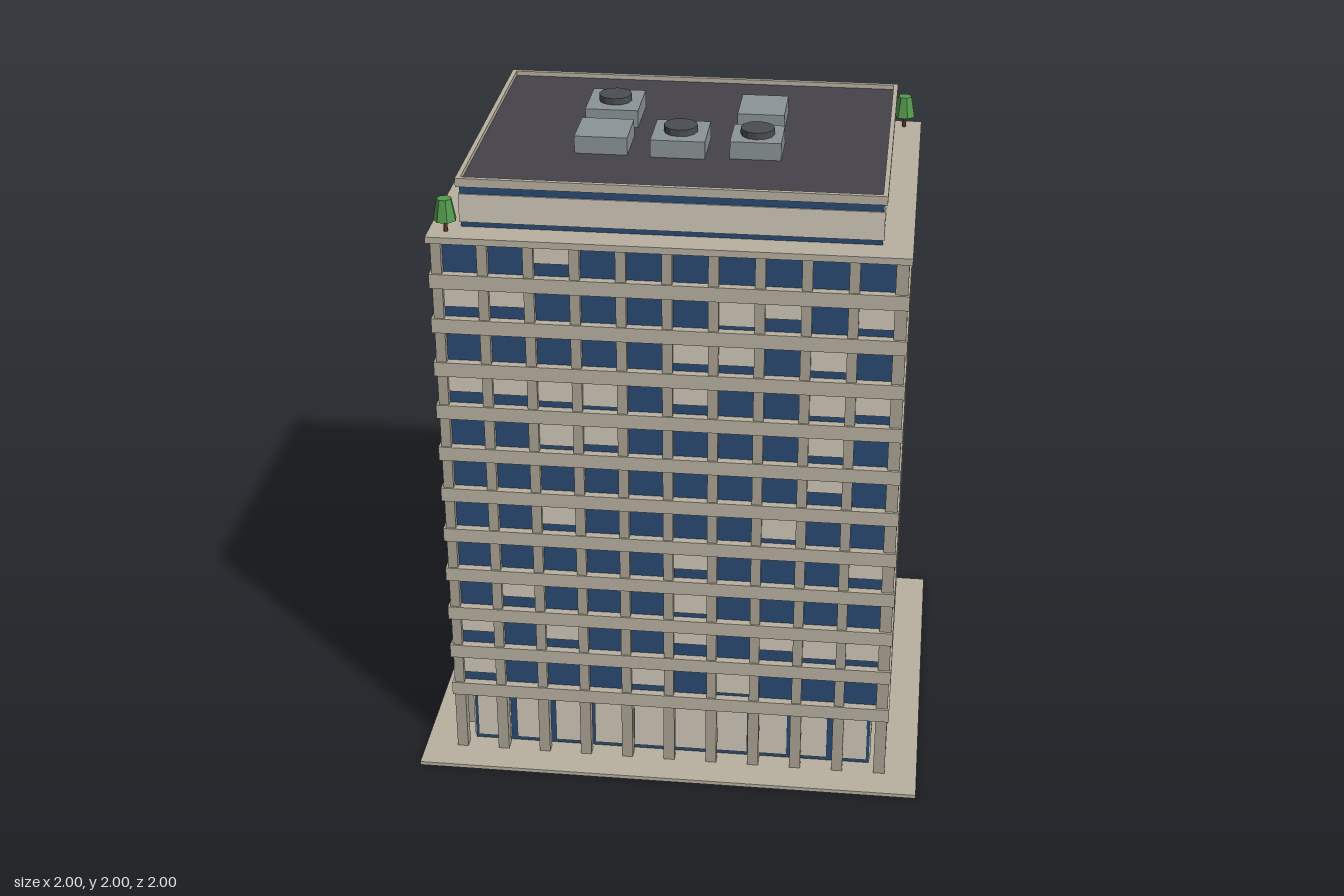
import * as THREE from 'three';
import { mergeGeometries } from 'three/addons/utils/BufferGeometryUtils.js';

const mat = (color) => new THREE.MeshStandardMaterial({ color, flatShading: true });
const CONCRETE = mat(0xb8b1a0), PIER = mat(0xaaa392), BLIND = mat(0xcfc8b8), GLASS = mat(0x2b4a73);
const ROOF = mat(0x454349), UNIT = mat(0x8a9396), FAN = mat(0x4a4d50), TRUNK = mat(0x6b4530);
const LEAF = mat(0x549a4c), LEAF_DARK = mat(0x3a8346);

const HX = 0.664, HZ = 0.515;           // pier lines, half sizes
const FLOORS = 11, STEP = 0.141, FIRST = 0.235, BAND = 0.045;

let seed = 11;
const rand = () => (seed = (seed * 16807) % 2147483647) / 2147483647;

// Box from its half sizes in plan and its bottom and top heights
function box(hx, y0, y1, hz, x = 0, z = 0) {
  return new THREE.BoxGeometry(hx * 2, y1 - y0, hz * 2).translate(x, (y0 + y1) / 2, z);
}

function add(parent, name, geometry, material) {
  const mesh = new THREE.Mesh(geometry, material);
  mesh.name = name;
  parent.add(mesh);
  return mesh;
}

// Rectangular ring of four bars, from outer half sizes and bar thickness
function ring(hx, hz, t, y0, y1) {
  return mergeGeometries([1, -1].flatMap((s) => [
    box(hx, y0, y1, t / 2, 0, s * (hz - t / 2)),
    box(t / 2, y0, y1, hz - t, s * (hx - t / 2), 0),
  ]));
}

// The four facades: outward angle, distance from centre, half width, bays
const SIDES = [
  { angle: 0, out: HZ, half: HX, bays: 10 },
  { angle: Math.PI / 2, out: HX, half: HZ, bays: 8 },
  { angle: Math.PI, out: HZ, half: HX, bays: 10 },
  { angle: -Math.PI / 2, out: HX, half: HZ, bays: 8 },
];

function facades(parent) {
  const piers = [], columns = [], blinds = [], panels = [];
  for (const { angle, out, half, bays } of SIDES) {
    const pitch = (half * 2) / bays;
    for (let i = 0; i < bays; i++) {
      const edge = -half + i * pitch, mid = edge + pitch / 2;
      // the pier at the far end belongs to the next side
      piers.push(box(0.015, 0.21, 1.768, 0.018, edge, out).rotateY(angle));
      columns.push(box(0.017, 0.01, 0.215, 0.018, edge, out).rotateY(angle));
      panels.push(box(pitch * 0.4, 0.025, 0.18, 0.004, mid * 0.95, out - 0.034).rotateY(angle));
      for (let f = 0; f < FLOORS; f++) {
        if (rand() > 0.33) continue;
        const top = FIRST + (f + 1) * STEP - BAND / 2;
        const drop = 0.05 + 0.035 * rand();
        blinds.push(box(pitch / 2 - 0.015, top - drop, top, 0.003, mid, out).rotateY(angle));
      }
    }
  }
  add(parent, 'facadePiers', mergeGeometries(piers), PIER);
  add(parent, 'groundColumns', mergeGeometries(columns), PIER);
  add(parent, 'windowBlinds', mergeGeometries(blinds), BLIND);
  add(parent, 'lobbyPanels', mergeGeometries(panels), BLIND);
}

// Tapered crown on a thin trunk
function tree(parent, name, [x, y, z], size, leaf) {
  const g = new THREE.Group();
  g.name = name;
  add(g, 'trunk', new THREE.CylinderGeometry(0.011, 0.014, 0.1, 6).translate(0, 0.05, 0), TRUNK);
  add(g, 'crown', new THREE.CylinderGeometry(0.045, 0.072, 0.135, 7).translate(0, 0.1425, 0), leaf);
  g.position.set(x, y, z);
  g.scale.setScalar(size);
  g.rotation.y = x * 5;
  parent.add(g);
}

export function createModel() {
  const model = new THREE.Group();
  model.name = 'officeTower';

  // The whole building stands turned by an eighth
  const tower = new THREE.Group();
  tower.name = 'tower';
  tower.rotation.y = -Math.PI / 4;
  model.add(tower);

  add(tower, 'groundPlate', box(0.782, 0, 0.012, 0.633), CONCRETE);
  add(tower, 'lobbyGlass', box(0.63, 0.006, 0.22, 0.481), GLASS);
  add(tower, 'windowWall', box(HX - 0.002, 0.214, 1.768, HZ - 0.002), GLASS);
  facades(tower);

  // Floor bands
  const bands = [];
  for (let f = 0; f < FLOORS; f++) {
    const y = FIRST + f * STEP;
    bands.push(ring(HX + 0.023, HZ + 0.023, 0.04, y - BAND / 2, y + BAND / 2));
  }
  add(tower, 'floorBands', mergeGeometries(bands), CONCRETE);
  add(tower, 'terraceSlab', box(0.691, 1.765, 1.785, 0.542), CONCRETE);

  // Set-back top floor with glass strips below and above its wall
  add(tower, 'penthouseGlass', box(0.603, 1.78, 1.912, 0.454), GLASS);
  add(tower, 'penthouseWall', box(0.607, 1.8, 1.886, 0.458), BLIND);
  add(tower, 'roof', box(0.602, 1.908, 1.922, 0.453), ROOF);
  add(tower, 'roofRim', ring(0.613, 0.464, 0.014, 1.91, 1.936), CONCRETE);

  // Rooftop machines: x, z, half sizes, fan or not
  const units = [
    [-0.08, -0.25, 0.08, 0.09, true], [-0.25, -0.08, 0.078, 0.078, false],
    [-0.09, -(-0.08), 0.08, 0.085, true], [0.07, 0.24, 0.075, 0.073, true],
    [0.24, 0.065, 0.07, 0.085, false],
  ];
  for (const [x, z, hx, hz, fan] of units) {
    const unit = new THREE.Group();
    unit.name = 'roofUnit';
    unit.position.set(x, 0, z);
    unit.rotation.y = -Math.PI / 4;
    add(unit, 'unitBox', box(hx, 1.92, 1.975, hz), UNIT);
    if (fan) add(unit, 'unitFan', new THREE.CylinderGeometry(0.05, 0.05, 0.03, 12).translate(0, 1.98, 0), FAN);
    model.add(unit);
  }

  // Street trees along the back left side, small ones on the terrace
  tree(model, 'streetTree', [0.17, 0.01, -0.69], 1, LEAF);
  tree(model, 'streetTree', [0.425, 0.01, -0.44], 0.9, LEAF_DARK);
  tree(model, 'streetTree', [0.68, 0.01, -0.185], 0.98, LEAF);
  tree(model, 'terraceTree', [-0.8, 1.785, -0.105], 0.48, LEAF);
  tree(model, 'terraceTree', [0.8, 1.785, 0.1], 0.48, LEAF);
  return model;
}
